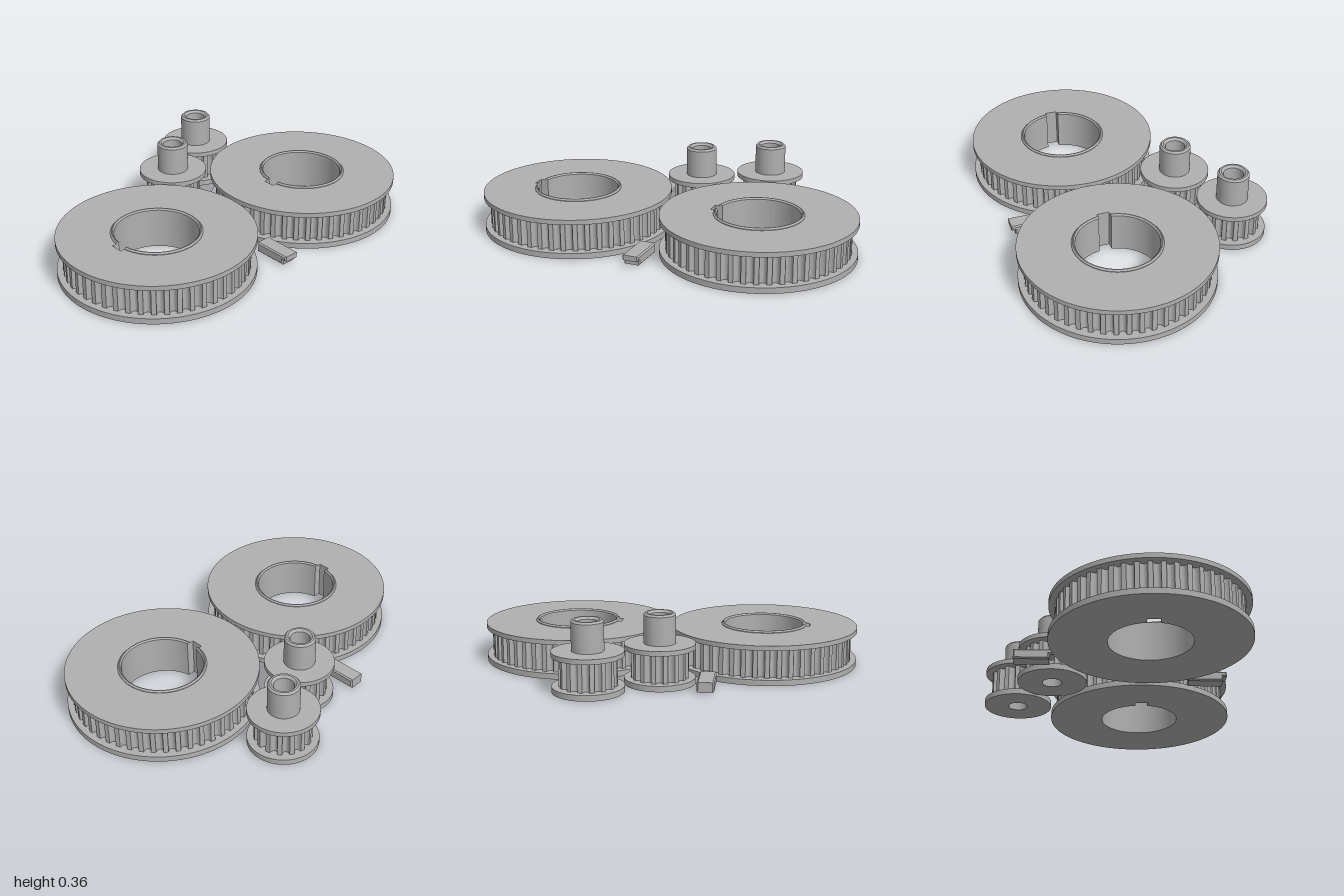
import * as THREE from 'three';
import { toCreasedNormals } from 'three/addons/utils/BufferGeometryUtils.js';

const steel = new THREE.MeshStandardMaterial({ color: 0xb0b0b0 });
steel.name = 'steel grey';

const FLANGE_BOTTOM = 0.03, TEETH_TOP = 0.18, FLANGE_TOP = 0.205;
const SLOT_HALF = 0.032, SLOT_REACH = 0.245;

function part(name, geometry, parent) {
  const mesh = new THREE.Mesh(toCreasedNormals(geometry, 0.5), steel);
  mesh.name = name;
  parent.add(mesh);
  return mesh;
}

// Upright plate from a plan shape (shape -y becomes +z)
function slab(shape, y0, y1) {
  return new THREE.ExtrudeGeometry(shape, { depth: y1 - y0, bevelEnabled: false, curveSegments: 96 })
    .rotateX(-Math.PI / 2).translate(0, y0, 0);
}

// Round bore, optionally with a rectangular keyway towards the front
function borePath(radius, keyed) {
  const path = new THREE.Path();
  if (!keyed) return path.absarc(0, 0, radius, 0, Math.PI * 2, true);
  const a = Math.asin(SLOT_HALF / radius);
  path.absarc(0, 0, radius, -Math.PI / 2 + a, Math.PI * 1.5 - a, false);
  path.lineTo(-SLOT_HALF, -SLOT_REACH);
  path.lineTo(SLOT_HALF, -SLOT_REACH);
  path.closePath();
  return path;
}

function disc(radius) {
  return new THREE.Shape().absarc(0, 0, radius, 0, Math.PI * 2, false);
}

// Timing belt outline: rounded grooves between narrow lands
function toothed(radius, count) {
  const points = [];
  const half = 0.0185 / radius, depth = 0.025;
  for (let i = 0; i < count; i++) {
    const mid = (i / count) * Math.PI * 2 + Math.PI / 2;
    for (const t of [-1, -0.9, -0.65, -0.3, 0, 0.3, 0.65, 0.9, 1]) {
      const r = radius - depth * Math.sqrt(1 - t * t);
      const a = mid + t * half;
      points.push(new THREE.Vector2(r * Math.cos(a), r * Math.sin(a)));
    }
  }
  return new THREE.Shape(points);
}

function pulley(name, x, z, { flange, tooth, teeth, bore, keyed }) {
  const group = new THREE.Group();
  group.name = name;
  group.position.set(x, 0, z);
  const layers = [
    ['lowerFlange', disc(flange), 0, FLANGE_BOTTOM],
    ['toothedRim', toothed(tooth, teeth), FLANGE_BOTTOM, TEETH_TOP],
    ['upperFlange', disc(flange), TEETH_TOP, FLANGE_TOP],
  ];
  for (const [label, shape, y0, y1] of layers) {
    shape.holes.push(borePath(bore, keyed));
    part(label, slab(shape, y0, y1), group);
  }
  return group;
}

// Low chamfered collar around the big bore, broken by the keyway
function addCollar(group) {
  const profile = [[0.208, 0.205], [0.226, 0.205], [0.226, 0.208], [0.219, 0.216], [0.215, 0.216], [0.208, 0.208]]
    .map(([r, y]) => new THREE.Vector2(r, y));
  const gap = Math.asin(SLOT_HALF / 0.217);
  part('collar', new THREE.LatheGeometry([...profile, profile[0]], 96, gap, Math.PI * 2 - gap * 2), group);
  for (const side of [1, -1]) {
    const cap = new THREE.ShapeGeometry(new THREE.Shape(profile));
    if (side < 0) cap.scale(-1, 1, 1).setIndex([...cap.index.array].reverse());
    cap.rotateY(side * (gap - Math.PI / 2));
    const end = new THREE.Mesh(cap, endMaterial);
    end.name = 'collarEnd';
    group.add(end);
  }
}
const endMaterial = steel;

// Tall chamfered sleeve on the small pulley
function addHub(group, bore) {
  const profile = [
    [bore, 0.2], [0.081, 0.2], [0.081, 0.35], [0.072, 0.36],
    [0.062, 0.36], [bore, 0.348], [bore, 0.2],
  ].map(([r, y]) => new THREE.Vector2(r, y));
  part('hub', new THREE.LatheGeometry(profile, 48), group);
}

// Loose key with chamfered edges and a notch under one end
function key(name, x, z, parent) {
  const b = 0.007;
  const outline = [[-0.1, 0.008], [0.08, 0.008], [0.08, 0.033], [0.1, 0.033], [0.1, 0.06], [-0.1, 0.06]];
  const inset = [[1, 1], [-1, 1], [-1, 1], [-1, 1], [-1, -1], [1, -1]];
  const shape = new THREE.Shape(outline.map(([px, py], i) =>
    new THREE.Vector2(px + inset[i][0] * b, py + inset[i][1] * b)));
  const geometry = new THREE.ExtrudeGeometry(shape, {
    depth: 0.086 - 2 * b, bevelThickness: b, bevelSize: b, bevelSegments: 1,
  }).translate(0, 0, b - 0.043);
  part(name, geometry, parent).position.set(x, 0, z);
}

export function createModel() {
  const model = new THREE.Group();
  model.name = 'beltPulleySet';

  const big = { flange: 0.494, tooth: 0.463, teeth: 48, bore: 0.208, keyed: true };
  const small = { flange: 0.18, tooth: 0.145, teeth: 15, bore: 0.051, keyed: false };

  for (const [name, z] of [['backLargePulley', -0.506], ['frontLargePulley', 0.506]]) {
    const group = pulley(name, 0.178, z, big);
    addCollar(group);
    model.add(group);
  }
  for (const [name, x, z] of [['backSmallPulley', -0.494, -0.33], ['frontSmallPulley', -0.302, 0]]) {
    const group = pulley(name, x, z, small);
    addHub(group, small.bore);
    model.add(group);
  }
  key('leftKey', 0.505, -0.003, model);
  key('rightKey', -0.393, 0.243, model);
  return model;
}
